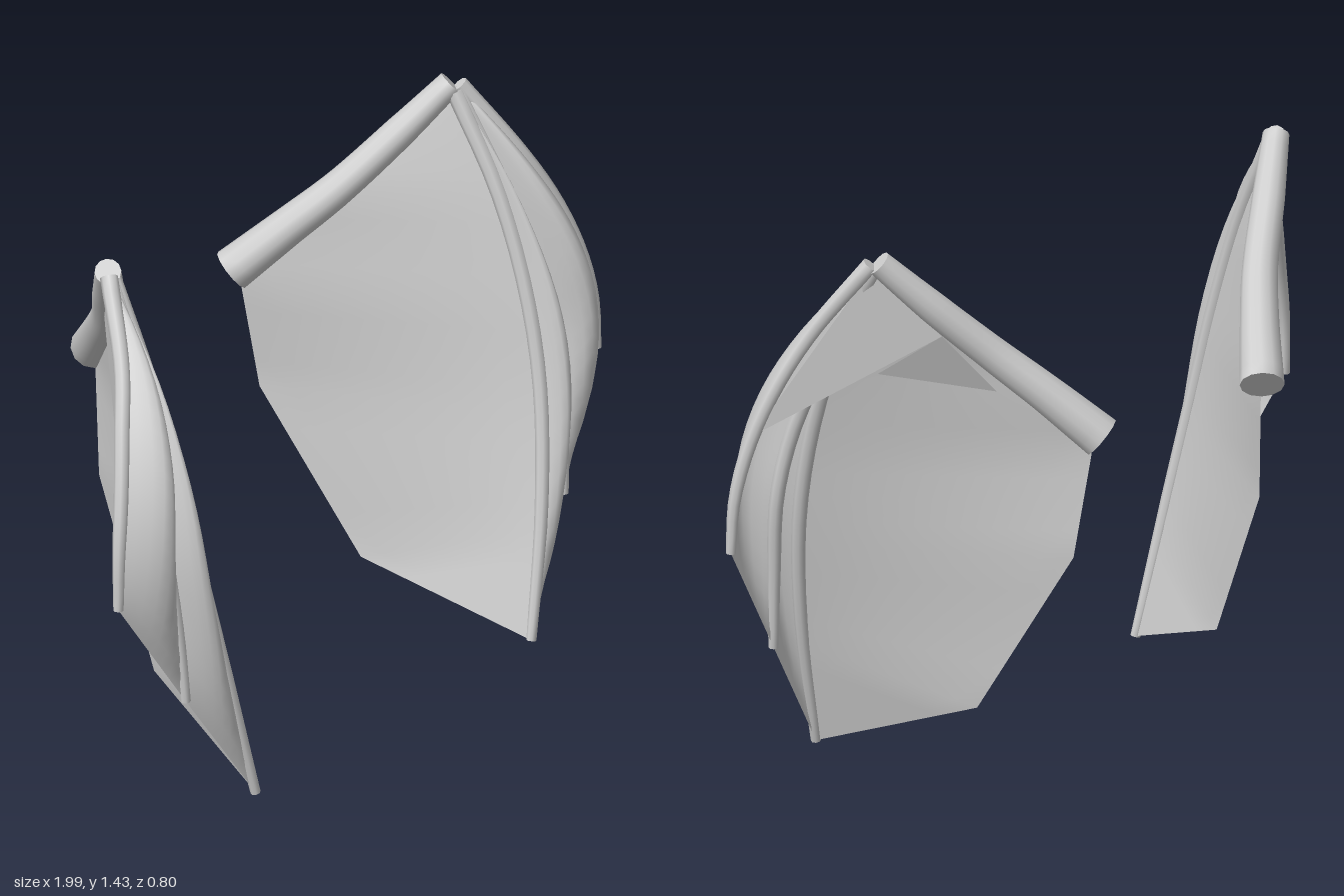
import * as THREE from 'three';
import { toCreasedNormals } from 'three/addons/utils/BufferGeometryUtils.js';

const grey = new THREE.MeshStandardMaterial({ color: 0xcccccc, side: THREE.DoubleSide });
grey.name = 'paleGrey';

// Points of one wing; the other wing is mirrored in x
const ARM = [[0.285, 0.935, -0.355], [0.38, 1.05, -0.25], [0.47, 1.15, -0.16], [0.6, 1.29, -0.06], [0.705, 1.41, 0.02]];
const FINGERS = [
  [[0.72, 1.405, 0.035], [0.815, 1.22, 0.15], [0.885, 1.08, 0.205], [0.94, 0.93, 0.245], [0.975, 0.78, 0.265], [0.983, 0.64, 0.27]],
  [[0.71, 1.39, 0.035], [0.745, 1.15, 0.16], [0.785, 0.92, 0.25], [0.805, 0.74, 0.285], [0.79, 0.52, 0.31], [0.777, 0.325, 0.325]],
  [[0.703, 1.39, 0.035], [0.717, 1.15, 0.16], [0.717, 0.9, 0.25], [0.7, 0.65, 0.31], [0.648, 0.35, 0.355], [0.567, 0.01, 0.385]],
];
const INNER_EDGE = [[0.703, 1.39, 0.03], [0.47, 1.13, -0.15], [0.3, 0.89, -0.335], [0.33, 0.61, -0.3], [0.425, 0.17, -0.05], [0.567, 0.01, 0.385]];

function mesh(geometry, name) {
  const m = new THREE.Mesh(geometry, grey);
  m.name = name;
  return m;
}

// Tapered tube with flat closed ends
function limb(curve, radii, sides, name) {
  const n = 22;
  const geo = new THREE.TubeGeometry(curve, n, 1, sides);
  const pos = geo.attributes.position, nor = geo.attributes.normal;
  const p = new THREE.Vector3(), d = new THREE.Vector3();
  for (let k = 0; k < pos.count; k++) {
    const i = Math.floor(k / (sides + 1));
    const t = THREE.MathUtils.clamp((i - 1) / (n - 2), 0, 1);
    const f = t * (radii.length - 1), a = Math.min(Math.floor(f), radii.length - 2);
    const r = i === 0 || i === n ? 0 : THREE.MathUtils.lerp(radii[a], radii[a + 1], f - a);
    curve.getPointAt(t, p).addScaledVector(d.fromBufferAttribute(nor, k), r);
    pos.setXYZ(k, p.x, p.y, p.z);
  }
  return mesh(toCreasedNormals(geo, 0.9), name);
}

// Skin stretched between two rows of points, bulging forward in the middle
function skin(rowA, rowB, bulge, name) {
  const rows = rowA.length, cols = 9, verts = [], index = [];
  for (let i = 0; i < rows; i++) {
    for (let j = 0; j < cols; j++) {
      const u = j / (cols - 1), t = i / (rows - 1);
      const p = rowA[i].clone().lerp(rowB[i], u);
      p.z += bulge * Math.sin(Math.PI * u) * Math.pow(Math.max(0, Math.sin(Math.PI * t)), 0.7);
      verts.push(p.x, p.y, p.z);
      if (i && j) {
        const k = i * cols + j;
        index.push(k, k - 1, k - cols, k - 1, k - cols - 1, k - cols);
      }
    }
  }
  const geo = new THREE.BufferGeometry();
  geo.setAttribute('position', new THREE.Float32BufferAttribute(verts, 3));
  geo.setIndex(index);
  geo.computeVertexNormals();
  return mesh(geo, name);
}

function triangle(points, name) {
  const geo = new THREE.BufferGeometry().setFromPoints(points);
  geo.computeVertexNormals();
  return mesh(geo, name);
}

function wing(side, name) {
  const g = new THREE.Group();
  g.name = name;
  const vec = ([x, y, z]) => new THREE.Vector3(x * side, y, z);
  const spline = pts => new THREE.CatmullRomCurve3(pts.map(vec));

  // Arm and three fingers
  g.add(limb(spline(ARM), [0.057, 0.05, 0.045, 0.042, 0.034], 12, 'arm'));
  const fingers = FINGERS.map(spline);
  fingers.forEach((c, i) => g.add(limb(c, [0.023, 0.021, 0.02, 0.018, 0.013], 8, 'finger' + (i + 1))));

  // Skins between neighbouring fingers
  const rows = fingers.map(c => c.getSpacedPoints(20));
  g.add(skin(rows[0], rows[1], 0.095, 'outerSkin'));
  g.add(skin(rows[1], rows[2], 0.07, 'middleSkin'));

  // Large skin between the arm and the last finger
  const border = [];
  for (let s = 0; s < 5; s++) {
    for (let k = s ? 1 : 0; k <= 4; k++) border.push(vec(INNER_EDGE[s]).lerp(vec(INNER_EDGE[s + 1]), k / 4));
  }
  g.add(skin(rows[2], border, 0, 'innerSkin'));

  // Folded skin between the arm and the first finger
  const fold = vec([0.585, 1.21, -0.085]);
  g.add(triangle([vec([0.715, 1.4, 0.03]), fold, vec([0.935, 0.95, 0.24])], 'shoulderSkin'));
  g.add(triangle([fold, vec([0.46, 1.05, -0.155]), vec([0.65, 1.085, 0.08])], 'foldedSkin'));
  return g;
}

export function createModel() {
  const model = new THREE.Group();
  model.name = 'wings';
  model.add(wing(1, 'leftWing'), wing(-1, 'rightWing'));
  return model;
}
